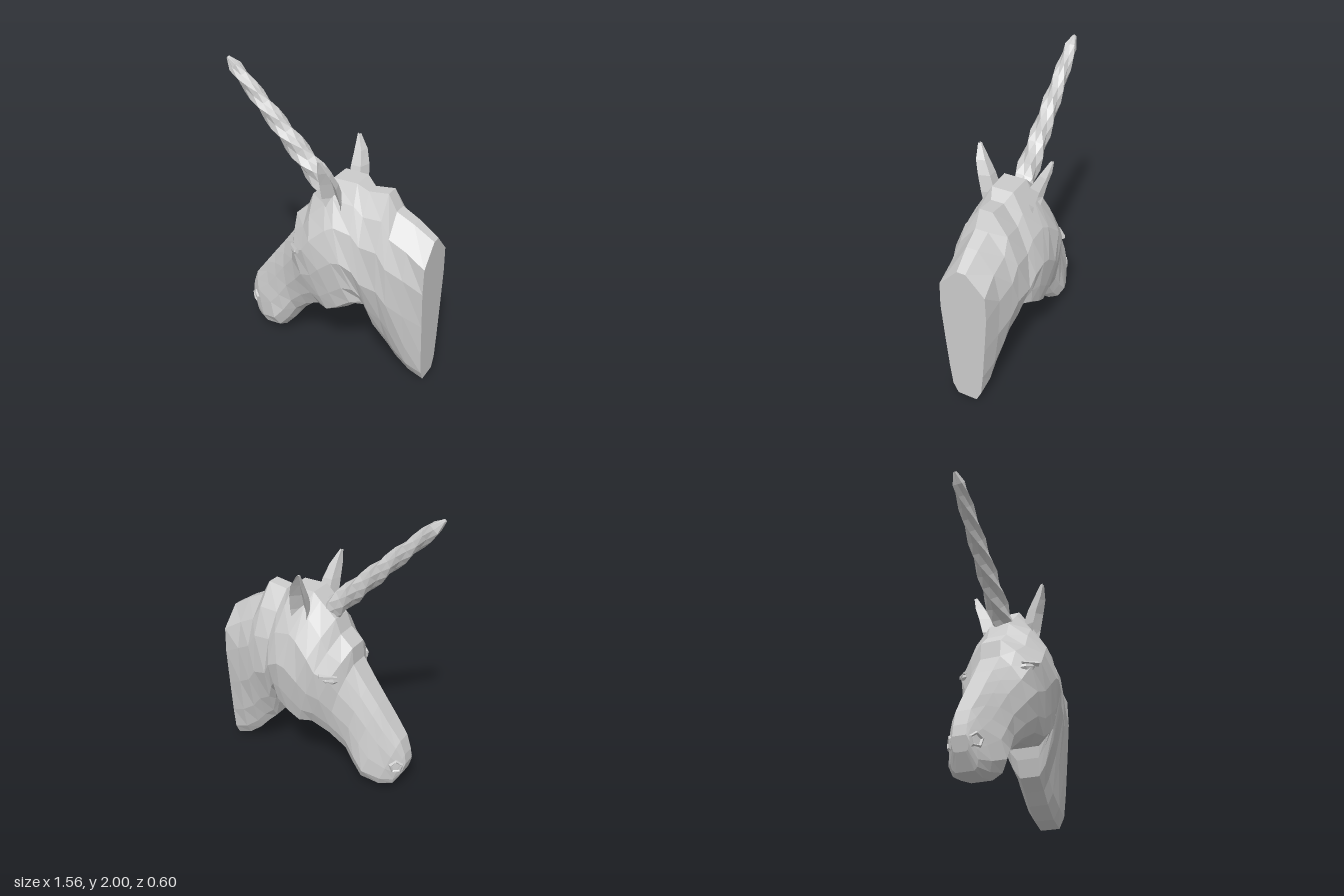
import * as THREE from 'three';

const material = new THREE.MeshStandardMaterial({ color: 0xcccccc, flatShading: true, side: THREE.DoubleSide });

function addMesh(parent, name, geometry) {
  const mesh = new THREE.Mesh(geometry, material);
  mesh.name = name;
  parent.add(mesh);
  return mesh;
}

// Skin a list of closed rings (counter-clockwise about the direction of travel) and cap both ends.
function loft(rings) {
  const n = rings[0].length;
  const positions = rings.flat(2);
  const index = [];
  for (let i = 0; i < rings.length - 1; i++) {
    for (let j = 0; j < n; j++) {
      const a = i * n + j, b = i * n + (j + 1) % n;
      index.push(a, b, b + n, a, b + n, a + n);
    }
  }
  [0, rings.length - 1].forEach((r, end) => {
    const centre = positions.length / 3;
    for (let k = 0; k < 3; k++) positions.push(rings[r].reduce((s, p) => s + p[k], 0) / n);
    for (let j = 0; j < n; j++) {
      const a = r * n + j, b = r * n + (j + 1) % n;
      index.push(centre, end ? a : b, end ? b : a);
    }
  });
  const geometry = new THREE.BufferGeometry();
  geometry.setAttribute('position', new THREE.Float32BufferAttribute(positions, 3));
  geometry.setIndex(index);
  const flat = geometry.toNonIndexed();
  flat.computeVertexNormals();
  return flat;
}

// Head sections: top x, y, bottom x, y, then half-widths at the levels below.
const LEVELS = [0, 0.13, 0.3, 0.55, 0.78, 0.93, 1];
const MUZZLE = [
  [-0.625, 0.24, -0.60, 0.15, 0.045, 0.05, 0.055, 0.055, 0.05, 0.045, 0.03],
  [-0.615, 0.31, -0.54, 0.05, 0.045, 0.06, 0.075, 0.088, 0.09, 0.08, 0.06],
  [-0.58, 0.41, -0.45, 0.03, 0.05, 0.08, 0.105, 0.125, 0.14, 0.12, 0.07],
  [-0.49, 0.53, -0.32, 0.05, 0.06, 0.09, 0.12, 0.16, 0.18, 0.14, 0.07],
  [-0.41, 0.64, -0.25, 0.13, 0.06, 0.10, 0.135, 0.165, 0.17, 0.13, 0.07],
  [-0.32, 0.76, -0.19, 0.23, 0.065, 0.11, 0.155, 0.175, 0.165, 0.13, 0.07],
  [-0.22, 0.90, -0.08, 0.33, 0.07, 0.14, 0.20, 0.22, 0.20, 0.165, 0.08],
];
const SKULL = [
  [-0.21, 1.02, 0.05, 0.40, 0.07, 0.16, 0.25, 0.265, 0.24, 0.20, 0.09],
  [-0.12, 1.10, 0.13, 0.39, 0.07, 0.19, 0.285, 0.285, 0.26, 0.23, 0.13],
  [-0.08, 1.20, 0.22, 0.44, 0.07, 0.19, 0.285, 0.30, 0.27, 0.24, 0.13],
  [0.03, 1.31, 0.31, 0.50, 0.08, 0.17, 0.26, 0.30, 0.27, 0.23, 0.11],
  [0.08, 1.36, 0.38, 0.48, 0.08, 0.155, 0.245, 0.295, 0.245, 0.15, 0.09],
  [0.25, 1.36, 0.39, 0.40, 0.075, 0.15, 0.235, 0.28, 0.21, 0.13, 0.08],
];
const NECK = [
  [0.32, 1.31, 0.42, 0.28, 0.045, 0.15, 0.23, 0.26, 0.185, 0.12, 0.07],
  [0.46, 1.33, 0.50, 0.20, 0.045, 0.15, 0.225, 0.235, 0.17, 0.11, 0.07],
  [0.52, 1.22, 0.57, 0.12, 0.045, 0.16, 0.22, 0.215, 0.16, 0.11, 0.07],
  [0.64, 1.16, 0.67, 0.04, 0.04, 0.15, 0.19, 0.18, 0.15, 0.115, 0.07],
  [0.78, 1.07, 0.78, 0.00, 0.03, 0.16, 0.165, 0.145, 0.125, 0.107, 0.07],
];

function headRing([tx, ty, bx, by, ...widths]) {
  const left = LEVELS.map((t, i) => [tx + (bx - tx) * t, ty + (by - ty) * t, widths[i]]);
  const right = left.map(([x, y, z]) => [x, y, -z]).reverse();
  return [...left, ...right];
}

// Tapered horn with four ridges winding around it.
function hornGeometry() {
  const rings = [], steps = 14, sides = 8, length = 1.09;
  for (let i = 0; i <= steps; i++) {
    const t = i / steps;
    const radius = i === steps ? 0.012 : 0.086 - 0.042 * t;
    const ring = [];
    for (let j = 0; j < sides; j++) {
      const a = (j / sides) * Math.PI * 2 - t * Math.PI * 2.4;
      const r = radius * (j % 2 ? 0.76 : 1);
      ring.push([Math.sin(a) * r, t * length, Math.cos(a) * r]);
    }
    rings.push(ring);
  }
  return loft(rings);
}

// Cupped ear sections: centre x, y, z, half-width, half-depth.
const EAR = [
  [0.14, 1.16, 0.14, 0.05, 0.05],
  [0.125, 1.25, 0.155, 0.068, 0.052],
  [0.118, 1.36, 0.188, 0.06, 0.045],
  [0.104, 1.45, 0.226, 0.042, 0.034],
  [0.078, 1.54, 0.256, 0.01, 0.012],
];

function earGeometry(side) {
  return loft(EAR.map(([x, y, z, w, d]) => {
    const ring = [
      [x, y, z - 0.55 * d], [x + w, y, z + 0.7 * d], [x + 0.6 * w, y, z - d],
      [x - 0.6 * w, y, z - d], [x - w, y, z + 0.7 * d],
    ].map(([px, py, pz]) => [px, py, pz * side]);
    return side > 0 ? ring : ring.reverse();
  }));
}

export function createModel() {
  const model = new THREE.Group();
  model.name = 'hornedHorseHead';

  addMesh(model, 'headAndNeck', loft([...MUZZLE, ...SKULL, ...NECK].map(headRing)));

  const horn = addMesh(model, 'horn', hornGeometry());
  horn.position.set(0, 1.22, 0);
  horn.rotation.z = Math.PI / 4;

  for (const side of [1, -1]) {
    const label = side > 0 ? 'left' : 'right';
    addMesh(model, label + 'Ear', earGeometry(side));

    // Eye with a heavy lid above it, both sunk into the socket
    const eye = addMesh(model, label + 'Eye', new THREE.SphereGeometry(0.05, 6, 4));
    eye.scale.set(1.2, 0.55, 0.45);
    eye.position.set(-0.13, 0.83, 0.228 * side);
    eye.rotation.set(0, -0.65 * side, 0.2);
    const lid = addMesh(model, label + 'Eyelid', new THREE.CylinderGeometry(0.01, 0.02, 0.12, 5));
    lid.position.set(-0.125, 0.857, 0.238 * side);
    lid.rotation.set(0, -0.65 * side, Math.PI / 2 + 0.1);

    // Raised nostril rim, mostly set into the muzzle
    const nostril = addMesh(model, label + 'Nostril', new THREE.TorusGeometry(0.042, 0.014, 4, 5));
    nostril.position.set(-0.572, 0.22, 0.083 * side);
    nostril.rotation.set(0, -0.6 * side, 0.3);
  }
  return model;
}
